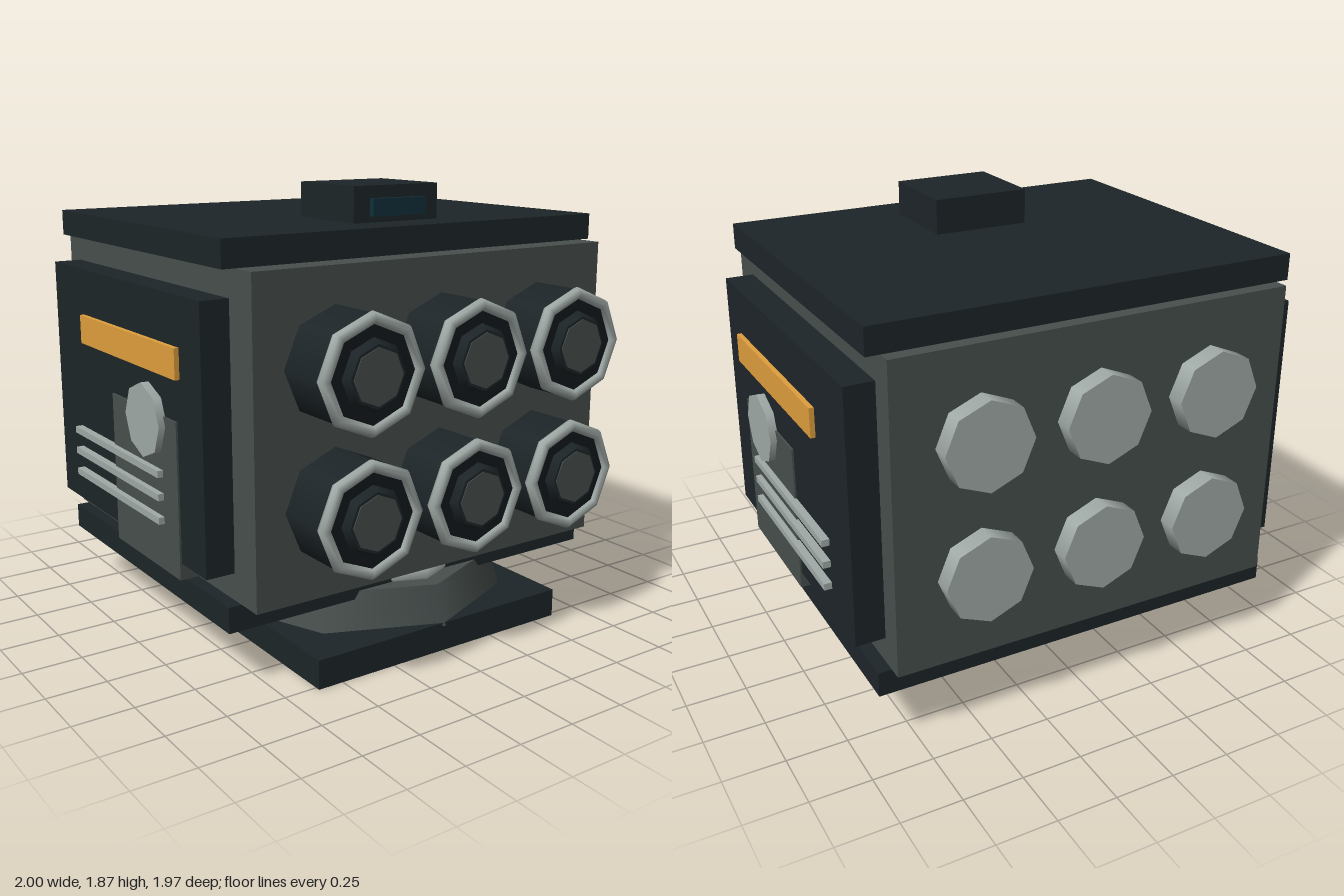
import * as THREE from 'three';

const mat = (color) => new THREE.MeshStandardMaterial({ color });

export function createModel() {
  const root = new THREE.Group();
  const hull = mat(0x474f4d), dark = mat(0x1d2528), black = mat(0x14191b);
  const light = mat(0xa0aaa6), amber = mat(0xdf9f3d), glass = mat(0x12303a);

  const add = (name, geometry, material, parent = root) => {
    const mesh = new THREE.Mesh(geometry, material);
    mesh.name = name;
    parent.add(mesh);
    return mesh;
  };
  // Box given by its limits on each axis
  const box = (name, x0, x1, y0, y1, z0, z1, material, parent) => {
    const m = add(name, new THREE.BoxGeometry(x1 - x0, y1 - y0, z1 - z0), material, parent);
    m.position.set((x0 + x1) / 2, (y0 + y1) / 2, (z0 + z1) / 2);
    return m;
  };
  // Eight-sided barrel running along z from z0 to z1
  const barrel = (name, r0, r1, z0, z1, material, parent) => {
    const m = add(name, new THREE.CylinderGeometry(r1, r0, z1 - z0, 8), material, parent);
    m.rotation.x = Math.PI / 2;
    m.position.z = (z0 + z1) / 2;
    return m;
  };

  // Base: foot plate, sloped turntable and bearing ring
  const baseZ = 0.115;
  box('footPlate', -0.61, 0.61, 0, 0.12, baseZ - 0.655, baseZ + 0.655, dark);
  add('turntable', new THREE.CylinderGeometry(0.61, 0.66, 0.165, 8), hull)
    .position.set(0, 0.19, baseZ);
  const bearing = add('bearingRing', new THREE.TorusGeometry(0.5, 0.045, 8, 8), light);
  bearing.rotation.x = Math.PI / 2;
  bearing.position.set(0, 0.282, baseZ);

  // Housing with floor and roof plates
  box('housing', -0.845, 0.845, 0.345, 1.612, -0.907, 0.712, hull);
  box('floorPlate', -0.9, 0.9, 0.24, 0.345, -0.85, 0.6, dark);
  box('roofPlate', -0.9, 0.9, 1.612, 1.72, -0.85, 0.6, dark);

  // Sensor on the roof
  box('sensorHousing', -0.207, 0.207, 1.72, 1.865, 0.036, 0.416, dark);
  box('sensorWindow', -0.13, 0.13, 1.745, 1.815, 0.41, 0.442, glass);

  // Launch tubes at the front, exhaust caps at the back
  for (const y of [0.71, 1.248]) {
    for (const x of [-0.495, 0, 0.495]) {
      const tube = new THREE.Group();
      tube.name = 'launchTube';
      tube.position.set(x, y, 0);
      root.add(tube);
      barrel('tubeBarrel', 0.222, 0.222, 0.7, 0.945, dark, tube);
      barrel('tubeBore', 0.19, 0.19, 0.94, 0.95, black, tube);
      add('muzzleRing', new THREE.TorusGeometry(0.205, 0.025, 8, 8), light, tube)
        .position.z = 0.942;
      barrel('noseCollar', 0.14, 0.118, 0.945, 0.98, dark, tube);
      barrel('noseCap', 0.107, 0.107, 0.95, 0.984, hull, tube);
      barrel('exhaustCap', 0.18, 0.18, -0.985, -0.9, light, tube);
    }
  }

  // Side equipment, mirrored left and right
  for (const s of [1, -1]) {
    const side = new THREE.Group();
    side.name = s > 0 ? 'leftSide' : 'rightSide';
    root.add(side);
    const slab = (name, reach, ...rest) =>
      box(name, Math.min(s * 0.84, s * reach), Math.max(s * 0.84, s * reach), ...rest, side);
    slab('sidePanel', 0.965, 0.455, 1.5, -0.8, 0.552, dark);
    slab('accessBox', 0.973, 0.388, 1.018, -0.217, 0.354, hull);
    slab('amberStripe', 0.985, 1.185, 1.306, -0.495, 0.382, amber);
    for (const y of [0.597, 0.693, 0.787]) {
      slab('rail', 0.997, y - 0.014, y + 0.014, -0.578, 0.232, light);
    }
    const hub = add('pivotCap', new THREE.CylinderGeometry(0.15, 0.15, 0.06, 8), light, side);
    hub.rotation.z = Math.PI / 2;
    hub.position.set(s * 0.97, 0.98, baseZ);
  }
  return root;
}
